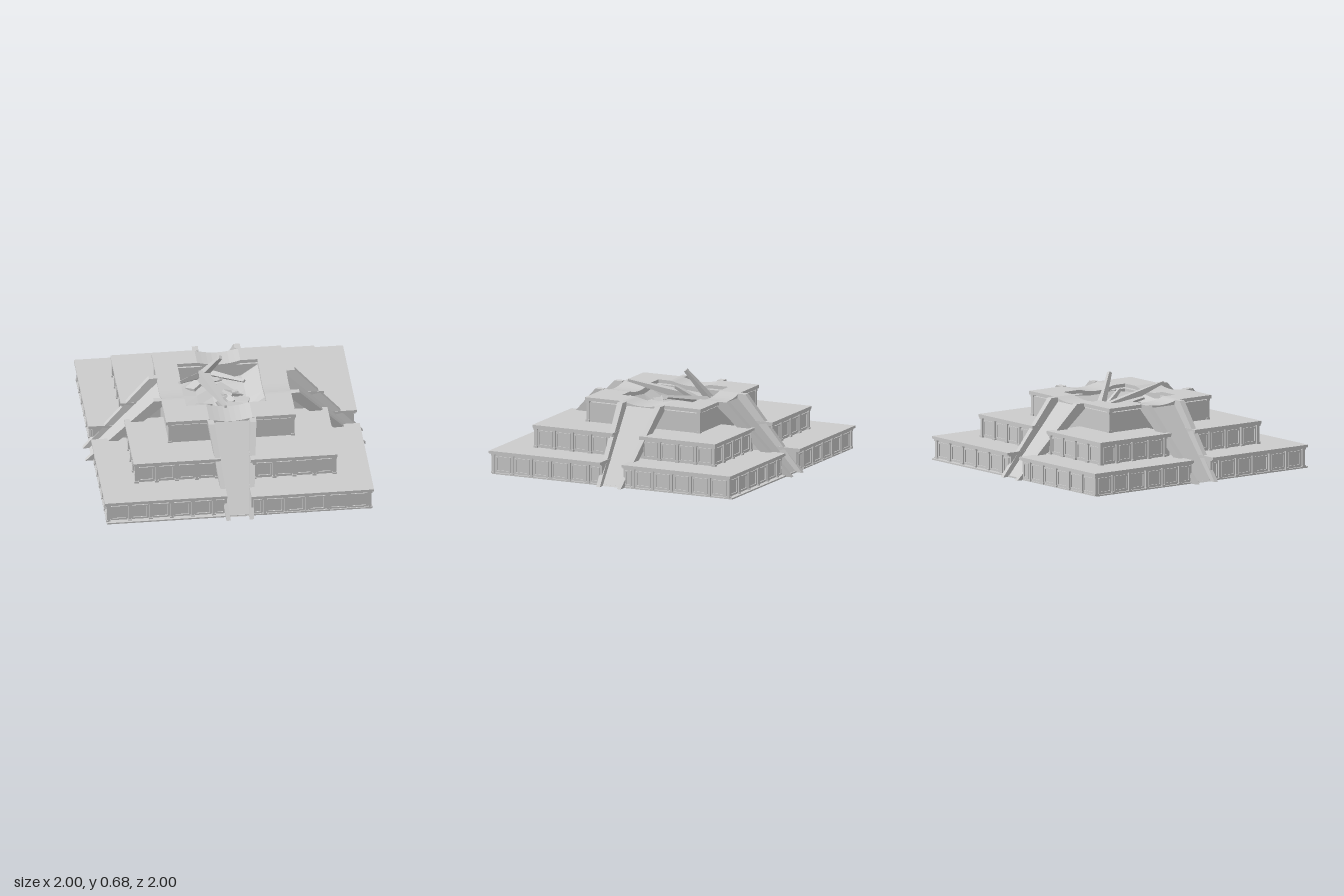
import * as THREE from 'three';

const grey = new THREE.MeshStandardMaterial({ color: 0xcccccc, flatShading: true, side: THREE.DoubleSide });

function add(parent, name, geo) {
  const m = new THREE.Mesh(geo, grey);
  m.name = name;
  parent.add(m);
  return m;
}

// Box given by two opposite corners, in any order
function span(parent, name, a, b, seg = 1) {
  const size = a.map((v, i) => Math.abs(b[i] - v));
  const geo = new THREE.BoxGeometry(size[0], size[1], size[2], seg, 1, seg);
  geo.translate((a[0] + b[0]) / 2, (a[1] + b[1]) / 2, (a[2] + b[2]) / 2);
  return add(parent, name, geo);
}

function seeded(seed) {
  return () => (seed = (seed * 16807) % 2147483647) / 2147483647;
}

// Raised rectangular border of one wall panel
function panelFrame(w, h) {
  const t = 0.011;
  const s = new THREE.Shape([[0, 0], [w, 0], [w, h], [0, h]].map(p => new THREE.Vector2(...p)));
  s.holes.push(new THREE.Path([[t, t], [t, h - t], [w - t, h - t], [w - t, t]].map(p => new THREE.Vector2(...p))));
  return new THREE.ExtrudeGeometry(s, { depth: 0.008, bevelEnabled: false }).translate(-w / 2, 0, 0);
}

// Row of pilasters and panels facing +z, running from the corner along dir
function wallRow(length, h, spacing, dir) {
  const g = new THREE.Group();
  g.name = 'wallPanels';
  for (let s = 0; s < length - 0.02; s += spacing) {
    const w = Math.min(spacing, length - s), x = dir * s;
    span(g, 'pilaster', [x - 0.01, 0, -0.01], [x + 0.01, h, 0.013]);
    span(g, 'pilasterBase', [x - 0.014, 0, -0.01], [x + 0.014, 0.014, 0.018]);
    span(g, 'pilasterCap', [x - 0.014, h - 0.014, -0.01], [x + 0.014, h, 0.018]);
    if (w > 0.07) {
      add(g, 'panelFrame', panelFrame(w - 0.034, h - 0.03)).position.set(x + dir * w / 2, 0.012, 0);
    }
  }
  return g;
}

// One corner block of a tier, with cornice and panelled outer walls
function cornerBlock(t, sx, sz) {
  const g = new THREE.Group();
  g.name = t.name;
  const shift = sx > 0 ? t.shift : -t.shift - 0.005;
  const X = sx * t.x, Z = sz * t.x + shift, ix = sx * t.gap, iz = sz * t.gap;
  const top = t.y1 - 0.018;
  span(g, 'wallBlock', [ix, t.y0, iz], [X, top, Z]);
  span(g, 'lowerCornice', [ix, top - 0.008, iz], [X + sx * 0.018, top, Z + sz * 0.018]);
  span(g, 'terraceSlab', [ix, top, iz], [X + sx * t.lip, t.y1, Z + sz * t.lip]);
  const h = top - t.y0 - 0.004;
  const a = wallRow(Math.abs(X - ix), h, t.bay, -sx * sz);
  a.position.set(X, t.y0, Z);
  a.rotation.y = sz > 0 ? 0 : Math.PI;
  const b = wallRow(Math.abs(Z - iz), h, t.bay, sx * sz);
  b.position.set(X, t.y0, Z);
  b.rotation.y = sx * Math.PI / 2;
  g.add(a, b);
  return g;
}

// Sloping ramp toward +z with a tapering rail on each side
function ramp() {
  const g = new THREE.Group();
  g.name = 'ramp';
  const geo = new THREE.BufferGeometry();
  geo.setAttribute('position', new THREE.Float32BufferAttribute(
    [-0.075, 0, 0.955, 0.075, 0, 0.955, 0.14, 0.485, 0.455, -0.14, 0.485, 0.455], 3));
  geo.setIndex([0, 1, 2, 0, 2, 3]);
  geo.computeVertexNormals();
  add(g, 'rampSurface', geo);
  const profile = new THREE.Shape([[0.45, 0.47], [0.46, 0.51], [0.52, 0.51], [1.0, 0], [0.945, 0]]
    .map(p => new THREE.Vector2(...p)));
  for (const side of [-1, 1]) {
    const rail = new THREE.ExtrudeGeometry(profile, { depth: 1, bevelEnabled: false });
    const p = rail.attributes.position;
    for (let i = 0; i < p.count; i++) {
      const z = p.getX(i), y = p.getY(i), k = (z - 0.46) / 0.53;
      const centre = 0.152 - 0.07 * k + 0.1 * (y - 0.97 + z * 0.98);
      p.setXYZ(i, side * centre + (0.5 - p.getZ(i)) * (0.045 - 0.015 * k), y, z);
    }
    rail.computeVertexNormals();
    add(g, 'rampRail', rail);
  }
  return g;
}

// Long pointed beam from a to b
function beam(parent, a, b, w, tip) {
  const A = new THREE.Vector3(...a), B = new THREE.Vector3(...b);
  const geo = new THREE.CylinderGeometry(tip, w, A.distanceTo(B), 4, 1).rotateY(Math.PI / 4);
  const m = add(parent, 'brokenBeam', geo);
  m.position.copy(A).add(B).multiplyScalar(0.5);
  m.quaternion.setFromUnitVectors(new THREE.Vector3(0, 1, 0), B.sub(A).normalize());
}

function summit() {
  const g = new THREE.Group();
  g.name = 'summit';
  const hx0 = -0.3, hx1 = 0.272, hz0 = -0.3, hz1 = 0.255;
  // Four sides around the pit: roof slab sagging where the ramps meet it, wall below
  const sides = [
    [-0.465, -0.46, 0.46, hz0], [-0.465, hz1, 0.46, 0.455],
    [-0.465, hz0, hx0, hz1], [hx1, hz0, 0.46, hz1],
  ];
  const lim = v => Math.max(-0.445, Math.min(0.445, v));
  for (const [x0, z0, x1, z1] of sides) {
    const slab = span(g, 'roofSlab', [x0, 0.485, z0], [x1, 0.51, z1], 24);
    const p = slab.geometry.attributes.position;
    for (let i = 0; i < p.count; i++) {
      const d = Math.min(Math.abs(p.getX(i)), Math.abs(p.getZ(i))) / 0.15;
      p.setY(i, p.getY(i) - 0.024 * Math.max(0, 1 - d * d));
    }
    slab.geometry.computeVertexNormals();
    span(g, 'upperWall', [lim(x0), 0.33, lim(z0)], [lim(x1), 0.475, lim(z1)]);
  }
  // Corner posts with base and cap
  for (const sx of [-1, 1]) for (const sz of [-1, 1]) {
    for (const [r, y0, y1] of [[0.01, 0.33, 0.49], [0.014, 0.33, 0.347], [0.014, 0.468, 0.488]]) {
      span(g, 'cornerPost', [sx * 0.44 - r, y0, sz * 0.44 - r], [sx * 0.44 + r, y1, sz * 0.44 + r]);
    }
  }
  // Uneven rubble floor, rising toward the pit edge on the right and front
  const rnd = seeded(77);
  const floor = new THREE.PlaneGeometry(hx1 - hx0, hz1 - hz0, 5, 5).rotateX(-Math.PI / 2);
  floor.translate((hx0 + hx1) / 2, 0, (hz0 + hz1) / 2);
  const p = floor.attributes.position;
  for (let i = 0; i < p.count; i++) {
    const x = p.getX(i), z = p.getZ(i);
    const edge = Math.max(0, x / 0.27, z / 0.25);
    p.setY(i, 0.355 + 0.03 * rnd() + 0.085 * edge * edge);
  }
  floor.computeVertexNormals();
  add(g, 'rubbleFloor', floor);
  // Tilted slabs of fallen roof
  for (let i = 0; i < 14; i++) {
    const chunk = add(g, 'fallenSlab', new THREE.BoxGeometry(0.08 + 0.08 * rnd(), 0.02, 0.06 + 0.08 * rnd()));
    chunk.position.set(-0.2 + 0.38 * rnd(), 0.385 + 0.03 * rnd(), -0.2 + 0.36 * rnd());
    chunk.rotation.set(rnd() - 0.5, rnd() * 3, rnd() - 0.5);
  }
  // Broken beams fanning out from the back of the pit
  beam(g, [-0.12, 0.43, -0.25], [-0.03, 0.55, 0.36], 0.055, 0.012);
  beam(g, [-0.12, 0.42, -0.28], [-0.012, 0.67, -0.105], 0.035, 0.017);
  beam(g, [-0.1, 0.45, -0.27], [0.15, 0.5, -0.04], 0.03, 0.013);
  beam(g, [-0.15, 0.43, -0.26], [-0.315, 0.525, -0.03], 0.03, 0.013);
  beam(g, [-0.08, 0.43, -0.2], [-0.02, 0.54, -0.02], 0.03, 0.015);
  return g;
}

export function createModel() {
  const model = new THREE.Group();
  model.name = 'steppedPyramid';
  span(model, 'basePlate', [-0.945, 0, -0.955], [0.945, 0.01, 0.95]);
  span(model, 'core', [-0.44, 0.01, -0.44], [0.44, 0.345, 0.44]);
  const tiers = [
    { name: 'lowerTier', x: 0.93, lip: 0.028, y0: 0.005, y1: 0.168, gap: 0.085, bay: 0.15, shift: 0.012 },
    { name: 'middleTier', x: 0.703, lip: 0.022, y0: 0.168, y1: 0.333, gap: 0.105, bay: 0.143, shift: 0.016 },
  ];
  for (const t of tiers) for (const sx of [-1, 1]) for (const sz of [-1, 1]) model.add(cornerBlock(t, sx, sz));
  for (let i = 0; i < 4; i++) {
    const r = ramp();
    r.rotation.y = i * Math.PI / 2;
    model.add(r);
  }
  model.add(summit());
  return model;
}
